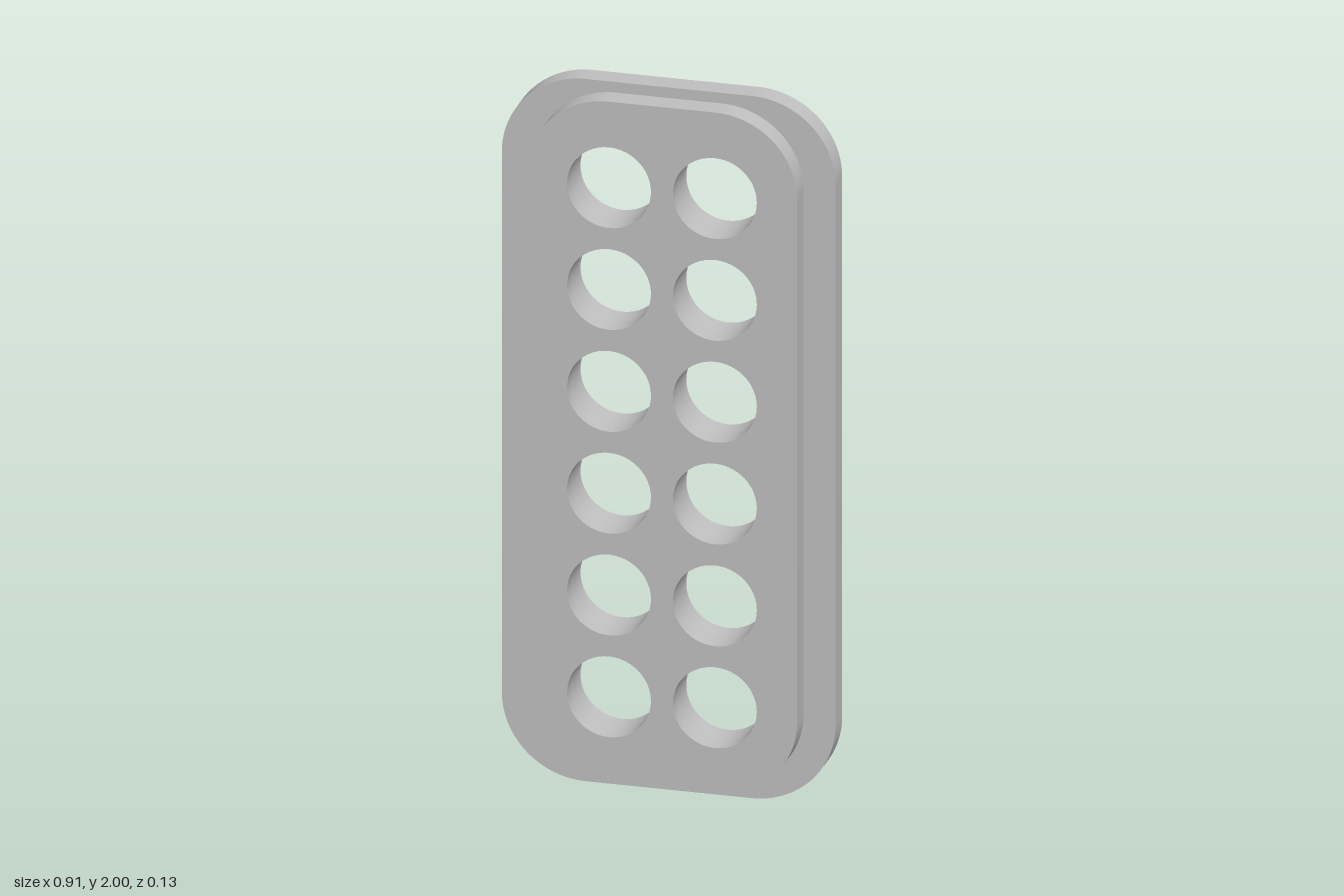
import * as THREE from 'three';
import { toCreasedNormals } from 'three/addons/utils/BufferGeometryUtils.js';

const HOLE = { radius: 0.115, x: 0.145, y: 0.275, step: 0.29, rows: 6 };

// Rounded rectangle centred on (0, 1)
function roundedRect(halfW, halfH, r) {
  const s = new THREE.Shape();
  const x = halfW - r, top = 1 + halfH - r, bottom = 1 - halfH + r;
  s.absarc(x, top, r, 0, Math.PI / 2);
  s.absarc(-x, top, r, Math.PI / 2, Math.PI);
  s.absarc(-x, bottom, r, Math.PI, Math.PI * 1.5);
  s.absarc(x, bottom, r, Math.PI * 1.5, Math.PI * 2);
  s.closePath();
  return s;
}

// Plate pierced by two columns of round holes
function plate(name, halfW, halfH, r, z, depth, material) {
  const shape = roundedRect(halfW, halfH, r);
  for (let row = 0; row < HOLE.rows; row++) {
    for (const side of [-1, 1]) {
      const hole = new THREE.Path();
      hole.absarc(side * HOLE.x, HOLE.y + row * HOLE.step, HOLE.radius, 0, Math.PI * 2, true);
      shape.holes.push(hole);
    }
  }
  const extruded = new THREE.ExtrudeGeometry(shape, { depth, bevelEnabled: false, curveSegments: 24 });
  const mesh = new THREE.Mesh(toCreasedNormals(extruded, Math.PI / 5), material);
  mesh.name = name;
  mesh.position.z = z;
  return mesh;
}

export function createModel() {
  const group = new THREE.Group();
  group.name = 'perforatedPlate';
  const grey = new THREE.MeshStandardMaterial({ color: 0xc0c0c0 });
  grey.name = 'light grey';

  // Wide flange at the back, narrower raised plate at the front
  group.add(plate('backFlange', 0.457, 1, 0.23, -0.067, 0.067, grey));
  group.add(plate('frontPlate', 0.37, 0.97, 0.225, 0, 0.067, grey));
  return group;
}
